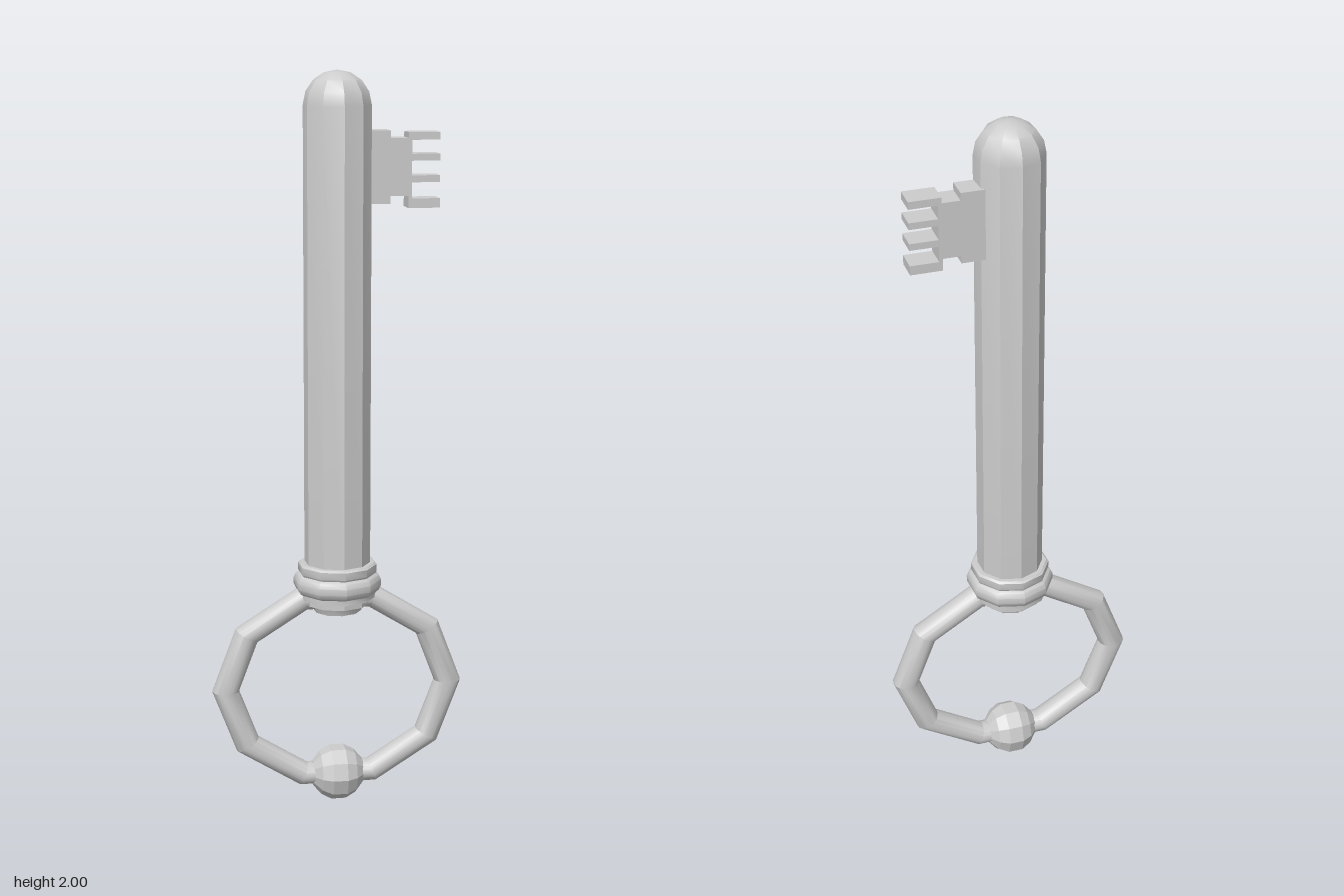
import * as THREE from 'three';
import { toCreasedNormals } from 'three/addons/utils/BufferGeometryUtils.js';

const SIDES = 10;

export function createModel() {
  const model = new THREE.Group();
  model.name = 'key';
  const material = new THREE.MeshStandardMaterial({ color: 0xcccccc });

  // Adds a mesh whose edges stay sharp above the crease angle
  const add = (parent, name, geometry, crease = 0.5) => {
    const mesh = new THREE.Mesh(toCreasedNormals(geometry, crease), material);
    mesh.name = name;
    parent.add(mesh);
    return mesh;
  };
  const lathe = (points, sides = SIDES) =>
    new THREE.LatheGeometry(points.map(([r, y]) => new THREE.Vector2(r, y)), sides);

  // Ten-sided shaft with a domed tip
  const shaftProfile = [[0, 0.57], [0.09, 0.57]];
  for (let i = 0; i <= 4; i++) {
    const a = (i / 4) * Math.PI / 2;
    shaftProfile.push([0.09 * Math.cos(a), 1.91 + 0.09 * Math.sin(a)]);
  }
  add(model, 'shaft', lathe(shaftProfile));

  // Stepped collar with a rounded middle band
  add(model, 'collar', lathe([
    [0, 0.548], [0.066, 0.548], [0.074, 0.575], [0.09, 0.588],
    [0.106, 0.588], [0.106, 0.602], [0.114, 0.607], [0.12, 0.62],
    [0.12, 0.637], [0.114, 0.65], [0.105, 0.655], [0.108, 0.66],
    [0.108, 0.68], [0.102, 0.685], [0.085, 0.685],
  ]), 0.66);

  // Handle and bit lie in one turned plane
  const plane = new THREE.Group();
  plane.name = 'handleAndBit';
  plane.rotation.y = 0.578;
  model.add(plane);

  // Ten-segment ring handle, slightly flattened
  const ringGeometry = new THREE.TorusGeometry(0.31, 0.037, 16, SIDES);
  ringGeometry.scale(1, 0.86, 1);
  add(plane, 'ringHandle', ringGeometry).position.y = 0.33;

  // Faceted bead threaded on the bottom of the ring
  const bead = add(plane, 'bead', lathe([
    [0, -0.07], [0.034, -0.07], [0.06, -0.048], [0.075, -0.02],
    [0.075, 0.02], [0.06, 0.048], [0.034, 0.07], [0, 0.07],
  ]), 0.1);
  bead.rotation.z = Math.PI / 2;
  bead.position.y = 0.075;

  // Bit outline: stem block, notched neck and four teeth
  const outline = [
    [0.06, 1.655], [0.138, 1.655], [0.138, 1.675], [0.186, 1.675], [0.186, 1.643],
  ];
  const teeth = [[1.643, 1.668], [1.71, 1.728], [1.766, 1.784], [1.82, 1.84]];
  teeth.forEach(([low, high], i) => {
    if (i > 0) outline.push([0.195, low]);
    outline.push([0.27, low], [0.27, high]);
    if (i < teeth.length - 1) outline.push([0.195, high]);
  });
  outline.push([0.186, 1.84], [0.186, 1.825], [0.138, 1.825], [0.138, 1.845], [0.06, 1.845]);
  const shape = new THREE.Shape(outline.map(([x, y]) => new THREE.Vector2(x, y)));
  const bitGeometry = new THREE.ExtrudeGeometry(shape, { depth: 0.063, bevelEnabled: false });
  add(plane, 'bit', bitGeometry).position.z = -0.043;

  return model;
}
